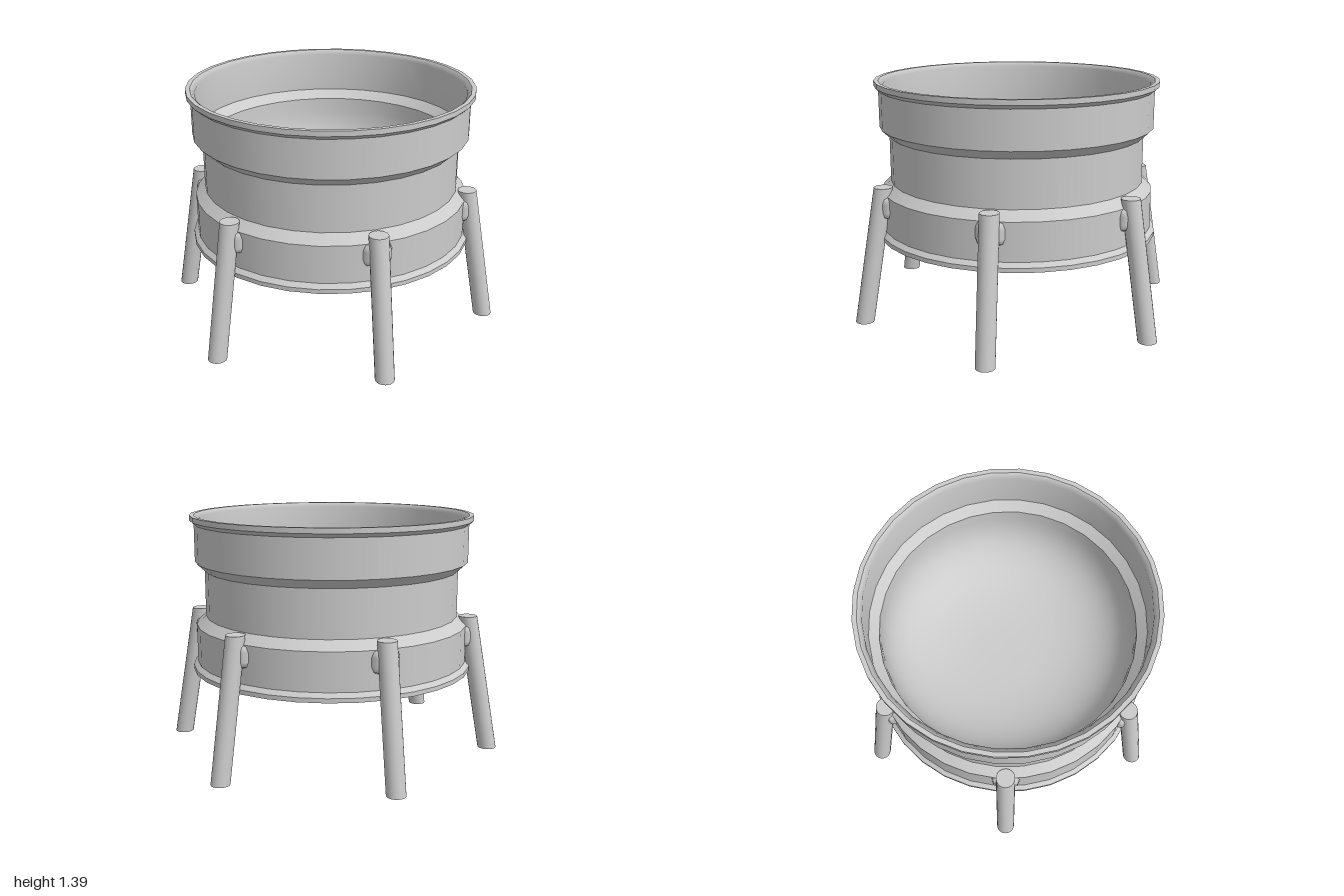
import * as THREE from 'three';
import { mergeGeometries } from 'three/addons/utils/BufferGeometryUtils.js';
import { RoundedBoxGeometry } from 'three/addons/geometries/RoundedBoxGeometry.js';

const SIDES = 32;
const LEG_COUNT = 6;
const material = new THREE.MeshStandardMaterial({ color: 0xcccccc });

function smoothLathe(profile) {
  return new THREE.LatheGeometry(profile.map(([r, y]) => new THREE.Vector2(r, y)), SIDES);
}

// Revolve each profile segment on its own, so edges between them stay sharp.
function creasedLathe(profile) {
  return mergeGeometries(profile.slice(1).map((point, i) => smoothLathe([profile[i], point])));
}

function addMesh(parent, geometry, name) {
  const mesh = new THREE.Mesh(geometry, material);
  mesh.name = name;
  parent.add(mesh);
}

// Splayed leg with level ends: a cylinder sheared outwards towards its foot.
function legGeometry() {
  const height = 0.8, topZ = 0.808, footZ = 0.946;
  const geometry = new THREE.CylinderGeometry(0.054, 0.054, height, 20);
  geometry.translate(0, height / 2, 0);
  const shear = new THREE.Matrix4().set(
    1, 0, 0, 0,
    0, 1, 0, 0,
    0, (topZ - footZ) / height, 1, footZ,
    0, 0, 0, 1
  );
  return geometry.applyMatrix4(shear);
}

export function createModel() {
  const model = new THREE.Group();
  model.name = 'firePit';

  // Stepped drum: recessed underside, outer wall and top lip
  addMesh(model, creasedLathe([
    [0, 0.53], [0.775, 0.53], [0.8, 0.483], [0.825, 0.483], [0.825, 0.508],
    [0.8, 0.532], [0.8, 0.75], [0.745, 0.801], [0.745, 1.069], [0.8, 1.12],
    [0.8, 1.335], [0.825, 1.357], [0.825, 1.386], [0.8, 1.386],
  ]), 'drum');

  // Inner wall blends softly into the lip, then steps in along a ledge
  addMesh(model, smoothLathe([[0.8, 1.386], [0.775, 1.36], [0.775, 1.127]]), 'innerWall');
  addMesh(model, smoothLathe([[0.775, 1.127], [0.722, 1.077]]), 'innerLedge');

  // Smooth bowl with steep sides and a flattened floor
  const bowl = [];
  const steps = 20;
  for (let i = 0; i <= steps; i++) {
    const a = (i / steps) * Math.PI / 2;
    const r = i === steps ? 0 : 0.722 * Math.cos(a) ** 0.7;
    bowl.push([r, 1.077 - 0.48 * Math.sin(a) ** 0.7]);
  }
  addMesh(model, smoothLathe(bowl), 'bowl');

  // Six legs, each joined to the drum by a rounded bracket
  const leg = legGeometry();
  const bracket = new RoundedBoxGeometry(0.164, 0.142, 0.1, 1, 0.046);
  bracket.translate(0, 0.686, 0.784);
  for (let i = 0; i < LEG_COUNT; i++) {
    const support = new THREE.Group();
    support.name = `support${i + 1}`;
    support.rotation.y = (i / LEG_COUNT) * Math.PI * 2;
    addMesh(support, leg, 'leg');
    addMesh(support, bracket, 'legBracket');
    model.add(support);
  }

  return model;
}
